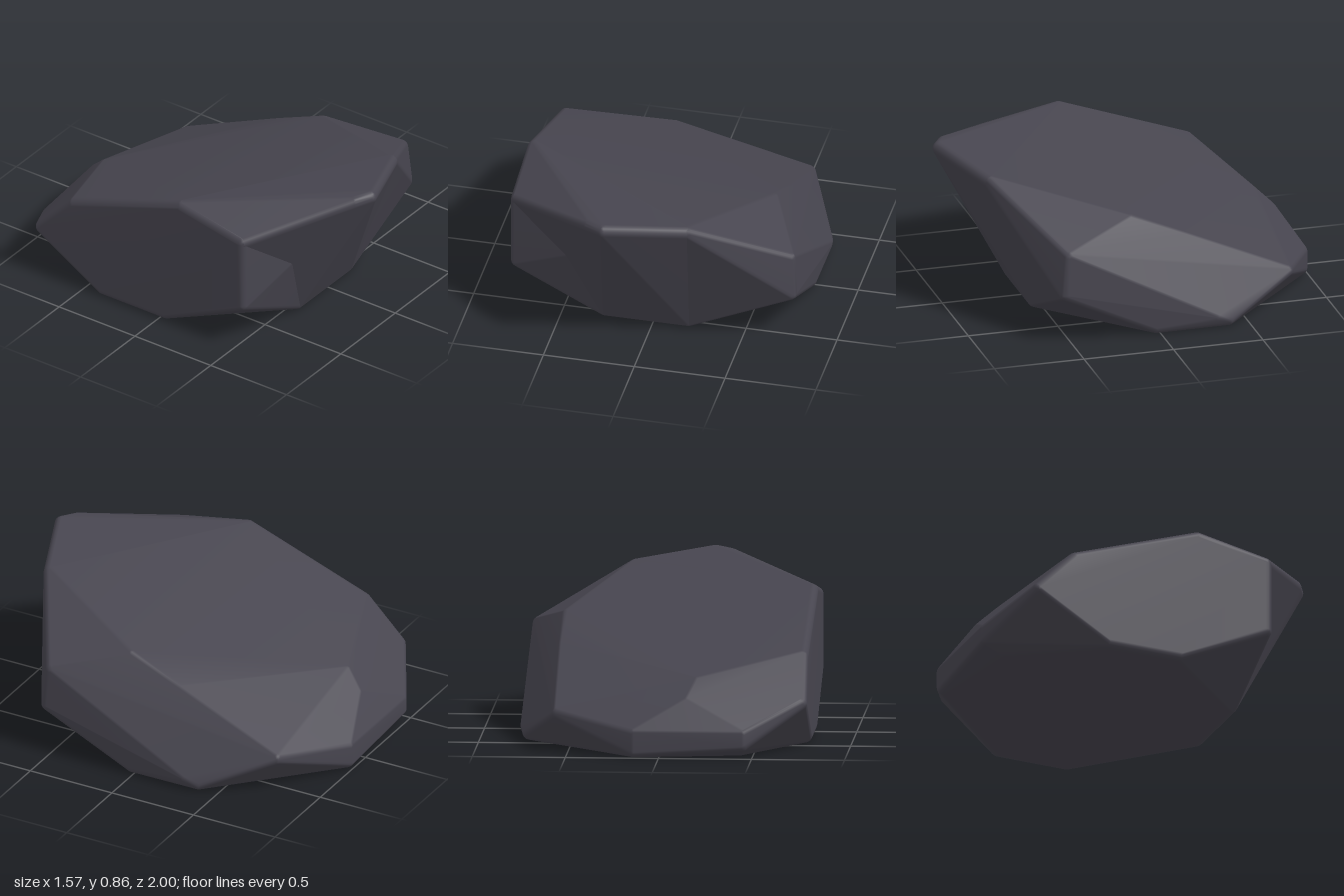
import * as THREE from 'three';
import { ConvexGeometry } from 'three/addons/geometries/ConvexGeometry.js';
import { mergeVertices } from 'three/addons/utils/BufferGeometryUtils.js';

const RADIUS = 0.04;
const HALF_X = 0.787, HEIGHT = 0.86, HALF_Z = 1;

// Corners shared by the main block and the overhanging front
const crestLeft = [-0.787, 0.775, 0.14];
const cheekLeft = [-0.787, 0.69, 0.55];
const browRight = [0.25, 0.8, 0.83];
const shoulderRight = [0.59, 0.61, 0.13];
const toeLeft = [-0.28, 0, 0.56];
const toeRight = [0.2, 0, 0.56];

const blockCorners = [
  crestLeft, cheekLeft, browRight, shoulderRight, toeLeft, toeRight,
  // sloping top towards the back
  [-0.78, 0.5, -0.6], [-0.2, 0.37, -0.8], [-0.15, 0.27, -0.9],
  // right wall
  [0.775, 0.5, 0.53], [0.787, 0.27, 0.55], [0.59, 0.47, -0.18],
  [0.787, 0.03, -0.32], [0.58, 0.18, -0.79],
  // left wall
  [-0.787, 0.26, 0.55], [-0.787, 0.26, -0.82],
  // back rim
  [-0.47, 0.1, -1], [0.14, 0.1, -1], [-0.47, 0.04, -1], [0.14, 0, -1],
  // underside
  [0.775, 0, 0.02], [0.77, 0, -0.4], [-0.45, 0, -0.9],
  [-0.787, 0, -0.4], [-0.787, 0, 0.03],
];

const overhangCorners = [
  [-0.19, 0.86, 1], [-0.28, 0.85, 0.95],
  crestLeft, cheekLeft, browRight, shoulderRight, toeLeft, toeRight,
];

// Convex hull of a small ball at every corner: flat facets with worn edges
function roundedHull(corners) {
  const ball = new THREE.IcosahedronGeometry(RADIUS, 2);
  ball.deleteAttribute('normal');
  ball.deleteAttribute('uv');
  const surface = mergeVertices(ball, 1e-4).getAttribute('position');
  const cloud = [];
  for (const [x, y, z] of corners) {
    // ball centres sit inside the outline by one radius
    const center = new THREE.Vector3(
      x * (1 - RADIUS / HALF_X),
      RADIUS + y * (1 - (2 * RADIUS) / HEIGHT),
      z * (1 - RADIUS / HALF_Z),
    );
    for (let i = 0; i < surface.count; i++) {
      cloud.push(new THREE.Vector3().fromBufferAttribute(surface, i).add(center));
    }
  }
  const hull = new ConvexGeometry(cloud);
  hull.deleteAttribute('normal');
  const geometry = mergeVertices(hull, 1e-4);
  geometry.computeVertexNormals();
  return geometry;
}

export function createModel() {
  const group = new THREE.Group();
  group.name = 'rock';
  const stone = new THREE.MeshStandardMaterial({ color: 0x47454f });
  const parts = { mainBlock: blockCorners, frontOverhang: overhangCorners };
  for (const [name, corners] of Object.entries(parts)) {
    const mesh = new THREE.Mesh(roundedHull(corners), stone);
    mesh.name = name;
    group.add(mesh);
  }
  return group;
}
